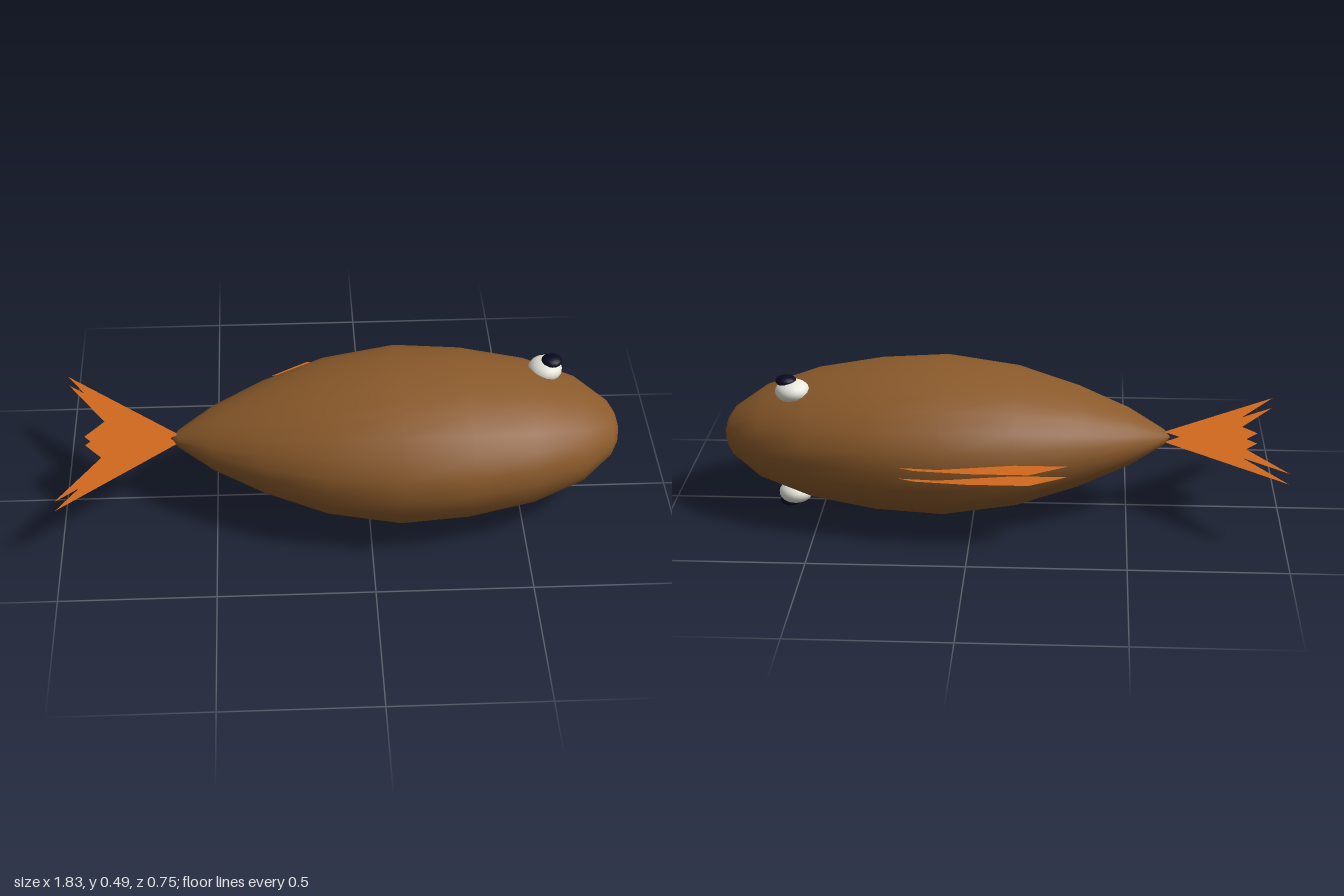
import * as THREE from 'three';

const MID = 0.27; // height of the fish's plane of symmetry

export function createModel() {
  const fish = new THREE.Group();
  fish.name = 'fish';

  const material = (name, color, side = THREE.FrontSide) => {
    const m = new THREE.MeshStandardMaterial({ color, side });
    m.name = name;
    return m;
  };
  const brown = material('brown skin', 0x8b5a2b);
  const orange = material('orange fin', 0xd2691e, THREE.DoubleSide);
  const white = material('eye white', 0xf5f5eb);
  const dark = material('pupil dark', 0x080820);

  const add = (name, geometry, mat, x, y, z) => {
    const mesh = new THREE.Mesh(geometry, mat);
    mesh.name = name;
    mesh.position.set(x, y, z);
    fish.add(mesh);
    return mesh;
  };

  // Body: a profile (radius, distance along x) turned round and flattened
  const profile = [
    [0, -0.64], [0.035, -0.62], [0.13, -0.505], [0.227, -0.34], [0.314, -0.14],
    [0.36, 0.096], [0.342, 0.315], [0.292, 0.525], [0.212, 0.69], [0.112, 0.79],
    [0.065, 0.812], [0, 0.825],
  ].map(([r, t]) => new THREE.Vector2(r, t));
  const body = new THREE.LatheGeometry(profile, 24);
  body.rotateZ(-Math.PI / 2);
  body.scale(1, 0.68, 1);
  add('body', body, brown, 0, MID, 0);

  // Fins: pairs of thin parallel sheets, outlined in (x, z)
  const fin = (name, outline) => {
    const shape = new THREE.Shape(outline.map(([x, z]) => new THREE.Vector2(x, z)));
    const sheet = new THREE.ShapeGeometry(shape);
    sheet.rotateX(Math.PI / 2);
    for (const s of [1, -1]) {
      add(name + (s > 0 ? 'Upper' : 'Lower'), sheet, orange, 0, MID + s * 0.018, 0);
    }
  };
  fin('tailFin', [
    [-0.62, 0], [-1, -0.335], [-0.85, -0.095], [-0.925, 0], [-0.85, 0.09], [-1, 0.33],
  ]);
  fin('backFin', [
    [-0.31, -0.31], [-0.19, -0.385], [0, -0.385], [0.17, -0.368], [0.3, -0.31],
  ]);

  // Eyes: one on each flat side
  const ball = new THREE.SphereGeometry(1, 16, 12);
  for (const s of [1, -1]) {
    const side = s > 0 ? 'Upper' : 'Lower';
    add('eye' + side, ball, white, 0.583, MID + s * 0.176, -0.095).scale.set(0.056, 0.036, 0.059);
    add('pupil' + side, ball, dark, 0.603, MID + s * 0.209, -0.092).scale.set(0.034, 0.017, 0.034);
  }

  return fish;
}
